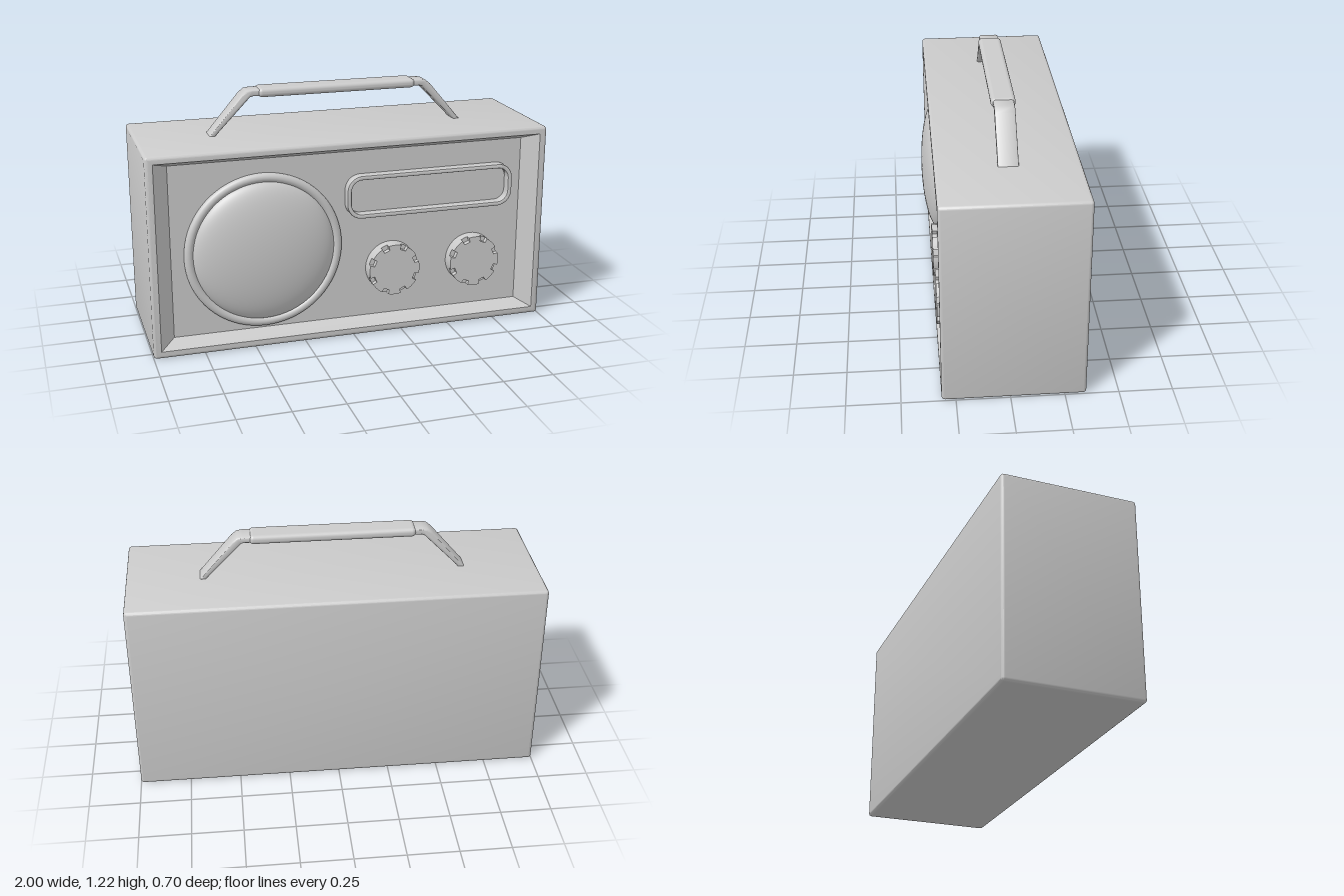
import * as THREE from 'three';
import { toCreasedNormals } from 'three/addons/utils/BufferGeometryUtils.js';
import { RoundedBoxGeometry } from 'three/addons/geometries/RoundedBoxGeometry.js';

const material = new THREE.MeshStandardMaterial({ color: 0xcccccc });
const PANEL_Z = 0.25;

function part(name, geometry, x = 0, y = 0, z = 0) {
  const mesh = new THREE.Mesh(geometry, material);
  mesh.name = name;
  mesh.position.set(x, y, z);
  return mesh;
}

// Rounded rectangle centred on the origin
function roundedRect(w, h, r, Type = THREE.Shape) {
  const s = new Type(), x = w / 2 - r, y = h / 2 - r;
  s.absarc(x, y, r, 0, Math.PI / 2);
  s.absarc(-x, y, r, Math.PI / 2, Math.PI);
  s.absarc(-x, -y, r, Math.PI, Math.PI * 1.5);
  s.absarc(x, -y, r, Math.PI * 1.5, Math.PI * 2);
  s.closePath();
  return s;
}

// Skin over rectangular loops [halfWidth, halfHeight, cornerRadius, z, yOffset]
function loftRects(loops) {
  const pos = [], index = [], n = 16;
  for (const [hw, hh, r, z, dy = 0] of loops) {
    for (let i = 0; i < n; i++) {
      const q = Math.floor(i / 4), a = (q + (i % 4) / 3) * Math.PI / 2;
      const sx = q === 0 || q === 3 ? 1 : -1, sy = q < 2 ? 1 : -1;
      pos.push(sx * (hw - r) + r * Math.cos(a), sy * (hh - r) + r * Math.sin(a) + dy, z);
    }
  }
  for (let k = 0; k < loops.length - 1; k++) {
    for (let i = 0; i < n; i++) {
      const a = k * n + i, b = k * n + (i + 1) % n;
      index.push(a, b, b + n, a, b + n, a + n);
    }
  }
  const g = new THREE.BufferGeometry();
  g.setAttribute('position', new THREE.Float32BufferAttribute(pos, 3));
  g.setIndex(index);
  return toCreasedNormals(g, 0.6);
}

// Cabinet: softened edges, narrow rim and a sloped recess in the front
function cabinetGeometry() {
  const r = 0.015, back = -0.35, front = 0.315, loops = [[0, 0, 0, back]];
  for (let i = 0; i <= 4; i++) {
    const a = i / 4 * Math.PI / 2, inset = r * (1 - Math.sin(a));
    loops.push([1 - inset, 0.5 - inset, r - inset, back + r * (1 - Math.cos(a))]);
  }
  for (let i = 0; i <= 4; i++) {
    const a = i / 4 * Math.PI / 2, inset = r * (1 - Math.cos(a));
    loops.push([1 - inset, 0.5 - inset, r - inset, front - r * (1 - Math.sin(a))]);
  }
  loops.push([0.963, 0.464, 0, front], [0.89, 0.43, 0, PANEL_Z, 0.005], [0, 0, 0, PANEL_Z, 0.005]);
  return loftRects(loops);
}

// Knob: round base with a notched front edge
function knob(name, x, y) {
  const group = new THREE.Group();
  group.name = name;
  group.position.set(x, y, PANEL_Z);
  const base = new THREE.CylinderGeometry(0.13, 0.13, 0.045, 48).rotateX(Math.PI / 2);
  group.add(part('knobBase', base, 0, 0, 0.0225));

  const shape = new THREE.Shape(), teeth = 8, step = Math.PI * 2 / teeth, half = 0.14;
  for (let i = 0; i < teeth; i++) {
    const a = (i + 0.5) * step;
    for (const [t, r] of [[-half, 0.13], [-half, 0.108], [half, 0.108]]) {
      const px = r * Math.cos(a + t), py = r * Math.sin(a + t);
      if (i === 0 && t < 0 && r > 0.12) shape.moveTo(px, py);
      else shape.lineTo(px, py);
    }
    shape.absarc(0, 0, 0.13, a + half, a + step - half);
  }
  const crown = new THREE.ExtrudeGeometry(shape, { depth: 0.025, bevelEnabled: false, curveSegments: 6 });
  group.add(part('knobCrown', toCreasedNormals(crown, 0.5), 0, 0, 0.045));
  return group;
}

// Carrying handle: flat bent strap with a thicker grip
function handle() {
  const group = new THREE.Group();
  group.name = 'handle';
  const b = 0.01;
  const right = [[0.60, 0.97], [0.635, 0.98], [0.655, 0.98], [0.478, 1.184], [0.455, 1.202], [0.43, 1.206]];
  const inner = [[0.43, 1.19], [0.445, 1.185], [0.615, 1.01]];
  // outline runs over the top and back along the underside
  const outer = right.slice(2);
  const mirror = (list) => list.map(([x, y]) => [-x, y]).reverse();
  const under = [...mirror(inner), ...inner];
  const points = [...outer, ...mirror(outer), [-0.635, 0.98], ...under, [0.635, 0.98]];
  const shape = new THREE.Shape(points.map(([x, y]) => new THREE.Vector2(x, y)));
  const width = 0.095;
  const strap = new THREE.ExtrudeGeometry(shape, {
    depth: width - 2 * b, bevelThickness: b, bevelSize: b * 0.8, bevelSegments: 3,
  });
  group.add(part('handleStrap', toCreasedNormals(strap, 0.7), 0, 0, -0.0175 - width / 2 + b));
  group.add(part('handleGrip', new RoundedBoxGeometry(0.8, 0.045, 0.115, 4, 0.02), 0, 1.1975, -0.0175));
  return group;
}

export function createModel() {
  const model = new THREE.Group();
  model.name = 'portableRadio';
  model.add(part('cabinet', cabinetGeometry(), 0, 0.5, 0));

  // Speaker: ring and shallow dome
  const sx = -0.44, sy = 0.477;
  model.add(part('speakerRing', new THREE.TorusGeometry(0.366, 0.023, 16, 72), sx, sy, 0.257));
  const dome = new THREE.SphereGeometry(0.348, 64, 20, 0, Math.PI * 2, 0, Math.PI / 2)
    .rotateX(Math.PI / 2).scale(1, 1, 0.088 / 0.348);
  model.add(part('speakerDome', dome, sx, sy, 0.262));

  // Display window frame
  const frame = roundedRect(0.85, 0.205, 0.07);
  frame.holes.push(roundedRect(0.83, 0.185, 0.06, THREE.Path));
  const frameGeometry = new THREE.ExtrudeGeometry(frame, {
    depth: 0.04, bevelThickness: 0.006, bevelSize: 0.006, bevelSegments: 2, curveSegments: 10,
  });
  model.add(part('displayFrame', toCreasedNormals(frameGeometry, 0.6), 0.4, 0.71, PANEL_Z));

  // Control knobs
  model.add(knob('rightKnob', 0.207, 0.327), knob('leftKnob', 0.632, 0.327));
  model.add(handle());
  return model;
}
